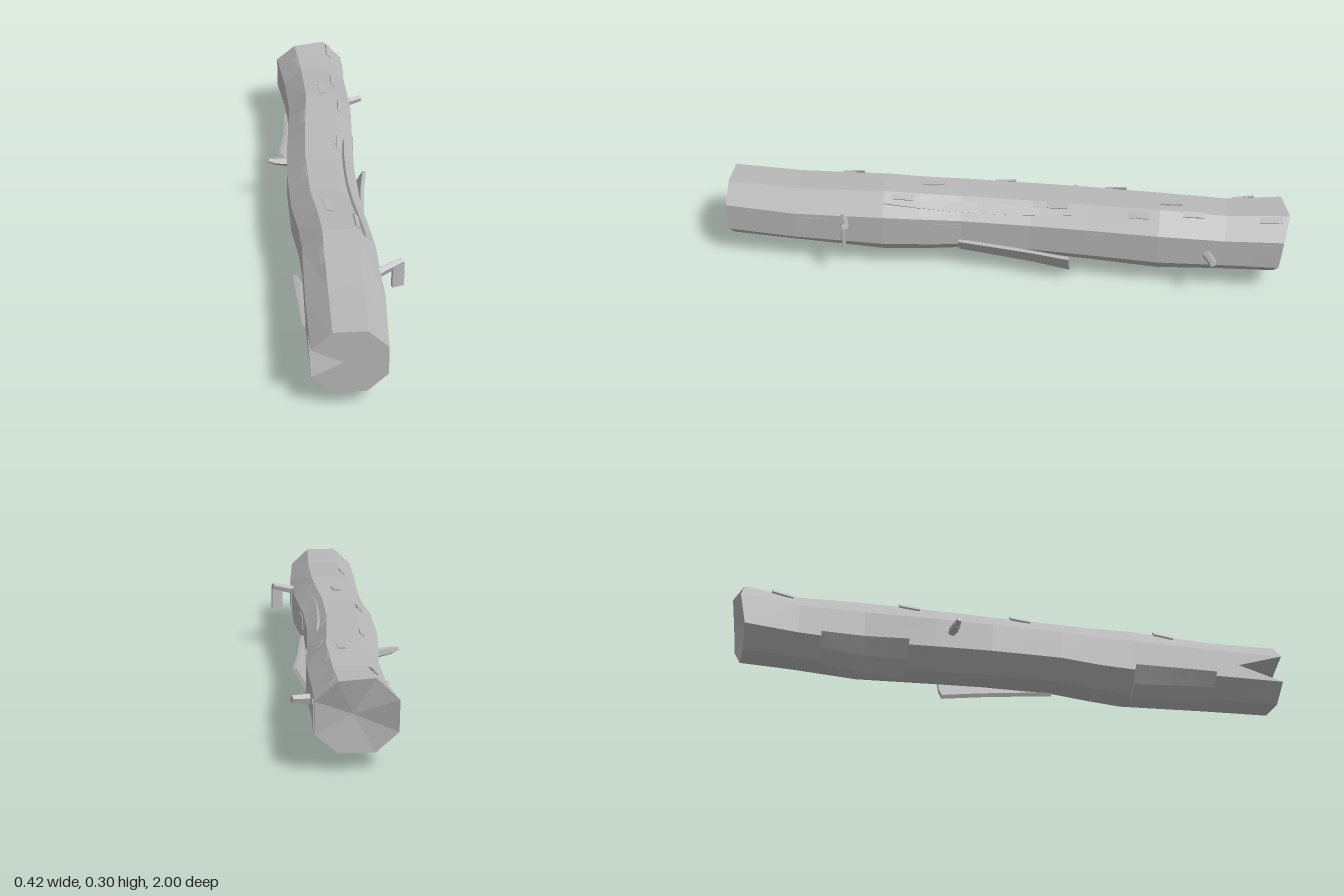
import * as THREE from 'three';

// Stations along the trunk: z, centre x, centre y, half width, half height
const RINGS = [
  [1, -0.008, 0.163, 0.121, 0.114],
  [0.75, -0.001, 0.158, 0.129, 0.113],
  [0.43, 0.002, 0.158, 0.124, 0.127],
  [0.3, -0.006, 0.157, 0.121, 0.121],
  [0.15, -0.021, 0.157, 0.123, 0.113],
  [-0.1, -0.023, 0.155, 0.123, 0.114],
  [-0.3, -0.012, 0.157, 0.122, 0.119],
  [-0.55, 0.006, 0.16, 0.119, 0.125],
  [-0.78, 0, 0.16, 0.119, 0.115],
  [-0.975, -0.01, 0.168, 0.13, 0.12],
];
const FLAT = 0.45;
// Octagon corners, counter-clockwise from the upper right
const CORNERS = [[1, FLAT], [FLAT, 1], [-FLAT, 1], [-1, FLAT], [-1, -FLAT], [-FLAT, -1], [FLAT, -1], [1, -FLAT]];
const BACK_Z = [-0.985, -1, -0.97, -0.985, -0.965, -0.96, -0.96, -0.975];

// Point on the bark at length z and position u (0..8) around, raised by lift
function skin(z, u, lift = 0) {
  let i = 0;
  while (i < RINGS.length - 2 && z < RINGS[i + 1][0]) i++;
  const a = RINGS[i], b = RINGS[i + 1];
  const t = (z - a[0]) / (b[0] - a[0]);
  const [cx, cy, hw, hh] = [1, 2, 3, 4].map((n) => a[n] + (b[n] - a[n]) * t);
  const w = ((u % 8) + 8) % 8, k = Math.floor(w), f = w - k;
  const p = CORNERS[k], q = CORNERS[(k + 1) % 8];
  const x = (p[0] + (q[0] - p[0]) * f) * hw, y = (p[1] + (q[1] - p[1]) * f) * hh;
  const s = 1 + lift / Math.hypot(x, y);
  return new THREE.Vector3(cx + x * s, cy + y * s, z);
}

function trunkGeometry() {
  const pts = [];
  const tri = (...v) => v.forEach((p) => pts.push(p.x, p.y, p.z));
  const last = RINGS.length - 1;
  const at = (i, k) => {
    const p = skin(RINGS[i][0], k);
    if (i === last) p.z = BACK_Z[k % 8];
    return p;
  };
  const front = new THREE.Vector3(-0.028, 0.163, 1);
  const back = new THREE.Vector3(0, 0.17, -0.95);
  for (let k = 0; k < 8; k++) {
    for (let i = 0; i < last; i++) {
      const a = at(i, k), b = at(i, k + 1), c = at(i + 1, k), d = at(i + 1, k + 1);
      if (i === 0 && k === 3) {
        // Split notch in the front end
        const n = skin(0.83, 3.5);
        tri(a, c, n); tri(c, d, n); tri(d, b, n);
        tri(a, n, front); tri(b, front, n);
      } else {
        tri(a, c, d); tri(a, d, b);
      }
    }
    if (k !== 3) tri(front, at(0, k), at(0, k + 1));
    tri(back, at(last, k + 1), at(last, k));
  }
  const g = new THREE.BufferGeometry();
  g.setAttribute('position', new THREE.Float32BufferAttribute(pts, 3));
  g.computeVertexNormals();
  return g;
}

// Slab that follows the bark; lift is a function of 0 (front) .. 1 (back),
// taper narrows it along the same range
function slabGeometry(z0, z1, u0, u1, lift, thick, taper = () => 1) {
  const g = new THREE.BoxGeometry(1, 1, 1, 2, 1, 6);
  const p = g.attributes.position;
  for (let i = 0; i < p.count; i++) {
    const t = 0.5 - p.getZ(i);
    const u = (u0 + u1) / 2 - p.getX(i) * (u1 - u0) * taper(t);
    const v = skin(z0 + (z1 - z0) * t, u, lift(t) + p.getY(i) * thick);
    p.setXYZ(i, v.x, v.y, v.z);
  }
  g.computeVertexNormals();
  return g;
}

// Tapered five-sided stub between two points
function stubGeometry(from, to, r0, r1) {
  const a = new THREE.Vector3(...from), b = new THREE.Vector3(...to);
  const dir = b.clone().sub(a);
  const g = new THREE.CylinderGeometry(r1, r0, dir.length(), 5);
  g.applyQuaternion(new THREE.Quaternion().setFromUnitVectors(new THREE.Vector3(0, 1, 0), dir.normalize()));
  return g.translate(...a.add(b).multiplyScalar(0.5).toArray());
}

export function createModel() {
  const group = new THREE.Group();
  const bark = new THREE.MeshStandardMaterial({ color: 0xb8b8b8, flatShading: true });
  bark.name = 'greyBark';
  const add = (name, geometry) => {
    const m = new THREE.Mesh(geometry, bark);
    m.name = name;
    group.add(m);
    return m;
  };

  add('trunk', trunkGeometry());

  // Peeling bark slabs along the lower sides
  add('rightPeel', slabGeometry(0.16, -0.24, 5.95, 7.2, (t) => 0.004 + 0.042 * t, 0.014));
  add('frontLeftPeel', slabGeometry(0.74, 0.43, 3.85, 5.05, (t) => 0.004 + 0.024 * t, 0.012));
  add('backLeftPeel', slabGeometry(-0.4, -0.7, 3.85, 5.05, (t) => 0.034 - 0.03 * t, 0.012));

  // Long raised sliver on the upper side
  add('ridgeSliver', slabGeometry(0.43, -0.24, 0.35, 0.75, (t) => 0.004 + 0.006 * Math.sin(t * Math.PI), 0.012,
    (t) => 0.15 + 0.85 * Math.sin(t * Math.PI)));

  // Thin bark patches on the right face: front z, back z, from u, to u
  for (const [z0, z1, u0, u1] of [[0.72, 0.62, 7.1, 7.85], [0.25, 0.16, 7.4, 7.85],
    [-0.29, -0.36, 7.4, 7.85], [-0.89, -0.965, 7.1, 7.85]]) {
    add('barkPatch', slabGeometry(z0, z1, u0, u1, () => 0.002, 0.004));
  }

  // Small chips along the upper edges
  for (const [z, u] of [[0.4, 0.8], [-0.15, 0.85], [-0.44, 0.7], [-0.63, 0.9], [-0.9, 0.8],
    [0.6, 2.1], [0.05, 2.15], [-0.35, 2.1], [-0.8, 2.15], [0.3, 1.6], [-0.55, 1.4]]) {
    add('barkChip', slabGeometry(z, z - 0.075, u - 0.1, u + 0.12, (t) => 0.001 + 0.006 * t, 0.006));
  }

  // Broken branch stubs
  add('frontBranch', stubGeometry([0.11, 0.198, 0.577], [0.205, 0.226, 0.545], 0.017, 0.013));
  const flap = add('frontBranchFlap', new THREE.BoxGeometry(0.042, 0.082, 0.012));
  flap.position.set(0.188, 0.178, 0.558);
  flap.rotation.y = 0.3;
  add('backBranch', stubGeometry([0.1, 0.15, -0.715], [0.18, 0.157, -0.745], 0.018, 0.013));
  add('leftBranch', stubGeometry([-0.12, 0.162, -0.245], [-0.185, 0.172, -0.237], 0.018, 0.014));
  add('leftBranchTip', stubGeometry([-0.18, 0.171, -0.238], [-0.21, 0.179, -0.234], 0.014, 0.007));

  return group;
}
